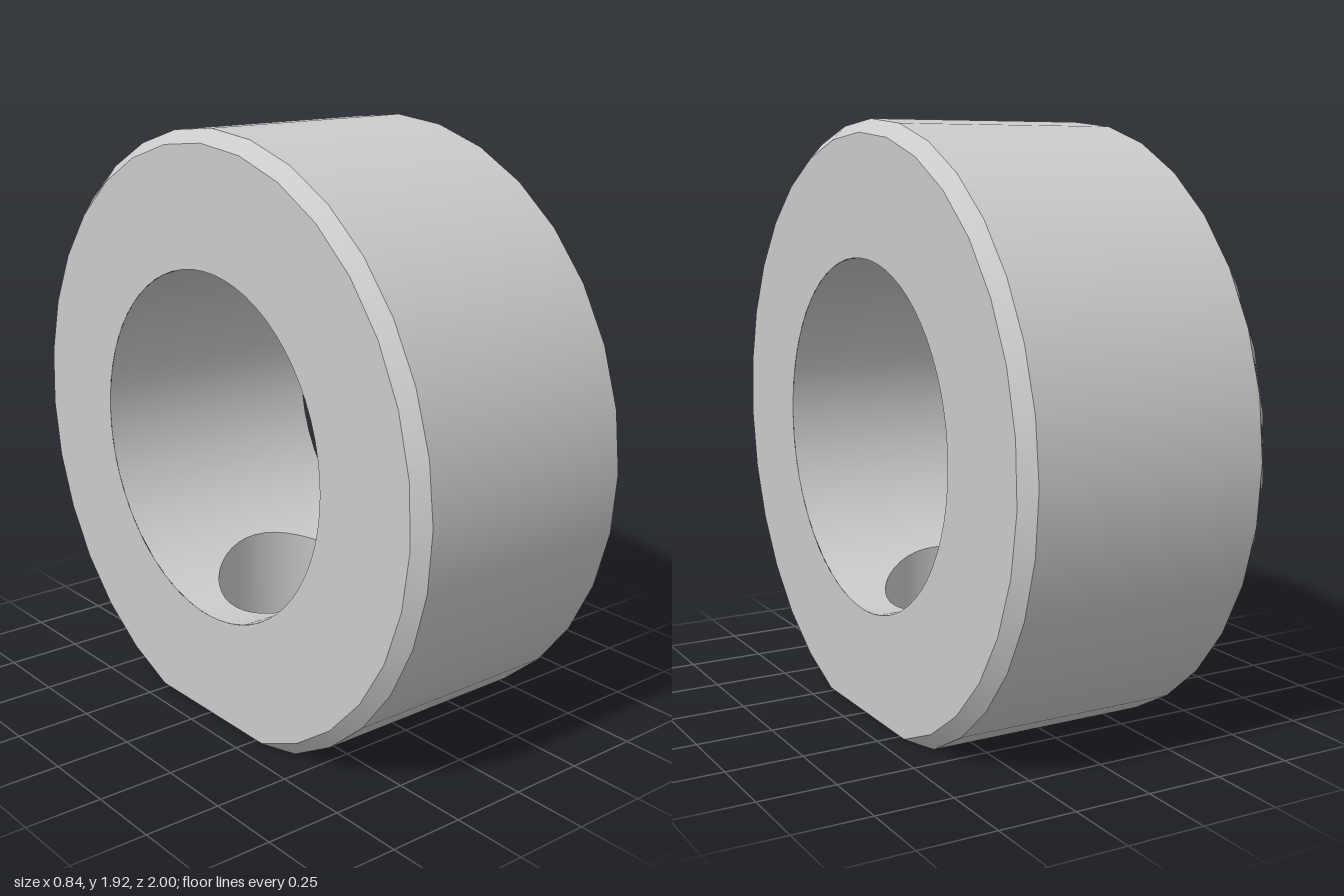
import * as THREE from 'three';
import { ParametricGeometry } from 'three/addons/geometries/ParametricGeometry.js';

const R = 1, CHAMFER = 0.042, HALF = 0.42;   // ring radius, edge chamfer, half width
const C = 0.917;                             // axis height above the flat
const BORE = 0.57, HOLE = 0.31;              // main bore and radial hole
const SEG = 28, PATCH = Math.PI / 4;         // outer facets, half angle of pierced bore patch

// half angle, measured from the top, where a circle of radius r meets the flat
const reach = (r) => Math.PI - Math.acos(C / r);
const halfChord = (r) => Math.sqrt(r * r - C * C);

export function createModel() {
  const group = new THREE.Group();
  const material = new THREE.MeshStandardMaterial({ color: 0xcccccc });

  const add = (name, geometry) => {
    const mesh = new THREE.Mesh(geometry, material);
    mesh.name = name;
    group.add(mesh);
    return mesh;
  };
  const surface = (name, fn, nu, nv) => add(name, new ParametricGeometry(fn, nu, nv));

  // Outer band between two (x, radius) stations, cut off at the flat
  const band = (name, x0, r0, x1, r1, steps) => surface(name, (u, v, p) => {
    const r = r0 + (r1 - r0) * v;
    const a = (2 * u - 1) * reach(r);
    p.set(x0 + (x1 - x0) * v, C + r * Math.cos(a), r * Math.sin(a));
  }, SEG, steps);
  const inner = HALF - CHAMFER, small = R - CHAMFER;
  band('outerWall', -inner, R, inner, R, 1);
  band('rightChamfer', -HALF, small, -inner, R, 4);
  band('leftChamfer', inner, R, HALF, small, 4);

  // Ring-shaped side faces
  const face = new THREE.Shape();
  for (let i = 0; i <= SEG; i++) {
    const a = (1 - 2 * i / SEG) * reach(small);
    face[i ? 'lineTo' : 'moveTo'](small * Math.sin(a), C + small * Math.cos(a));
  }
  face.closePath();
  face.holes.push(new THREE.Path().absarc(0, C, BORE, 0, Math.PI * 2, true));
  for (const side of [-1, 1]) {
    const mesh = add(side > 0 ? 'leftFace' : 'rightFace', new THREE.ShapeGeometry(face, 32));
    mesh.rotation.y = side * Math.PI / 2;
    mesh.position.x = side * HALF;
  }

  // Bottom flat, its ends narrowing through the chamfers
  const quarter = [];
  for (let i = 0; i <= 4; i++) {
    quarter.push([HALF - CHAMFER * i / 4, halfChord(small + CHAMFER * i / 4)]);
  }
  const back = [...quarter].reverse();
  const outline = [
    ...quarter, ...back.map(([x, z]) => [-x, z]),
    ...quarter.map(([x, z]) => [-x, -z]), ...back.map(([x, z]) => [x, -z]),
  ];
  const flat = new THREE.Shape(outline.map(([x, z]) => new THREE.Vector2(x, z)));
  flat.holes.push(new THREE.Path().absarc(0, 0, HOLE, 0, Math.PI * 2, true));
  add('bottomFlat', new THREE.ShapeGeometry(flat, 24)).rotation.x = Math.PI / 2;

  // Bore wall, angle measured from the bottom
  const onBore = (angle, x, p) => p.set(x, C - BORE * Math.cos(angle), BORE * Math.sin(angle));
  surface('boreWall', (u, v, p) => {
    onBore(PATCH + u * 2 * (Math.PI - PATCH), (2 * v - 1) * HALF, p);
  }, 36, 1);

  // Lower bore patch, spreading from the radial hole's rim to a rectangle
  surface('piercedBoreWall', (u, v, p) => {
    const c = Math.cos(v * Math.PI * 2), s = Math.sin(v * Math.PI * 2);
    const m = Math.max(Math.abs(c), Math.abs(s));
    const rim = Math.asin(HOLE * c / BORE);
    onBore(rim + (PATCH * c / m - rim) * u, HOLE * s + (HALF * s / m - HOLE * s) * u, p);
  }, 5, 48);

  // Radial hole wall, from the flat up to the curved bore
  surface('radialHoleWall', (u, v, p) => {
    const z = HOLE * Math.cos(v * Math.PI * 2), x = HOLE * Math.sin(v * Math.PI * 2);
    p.set(x, u * (C - Math.sqrt(BORE * BORE - z * z)), z);
  }, 2, 48);

  return group;
}
